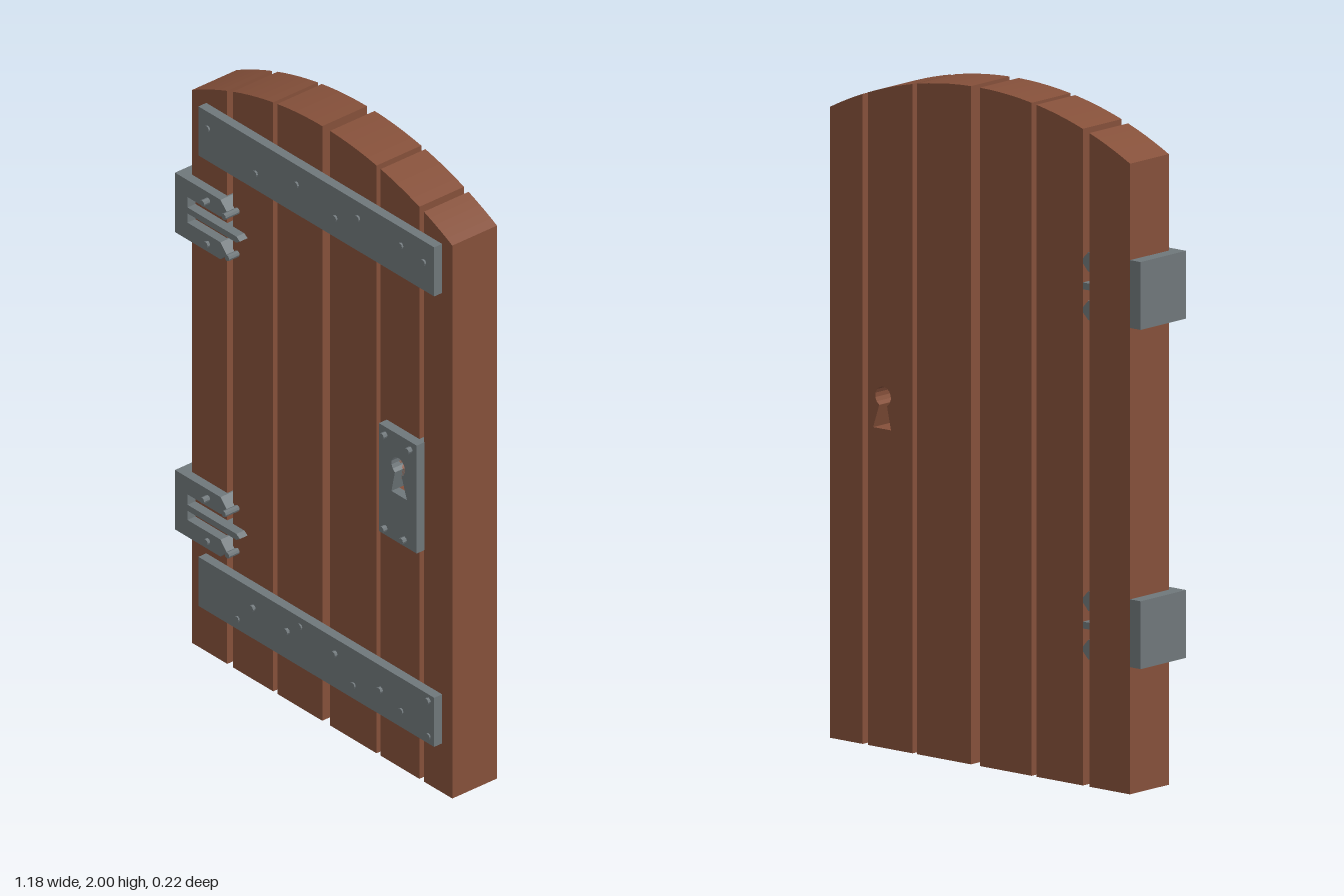
import * as THREE from 'three';

const wood = new THREE.MeshStandardMaterial({ color: 0x85503a, flatShading: true });
const iron = new THREE.MeshStandardMaterial({ color: 0x6f777a, flatShading: true });

const BACK = -0.115, FACE = 0.055, PLATE = 0.085;

// Extrude an outline between two depths
function slab(name, shape, z0, z1, material) {
  const geometry = new THREE.ExtrudeGeometry(shape, { depth: z1 - z0, bevelEnabled: false, curveSegments: 10 });
  geometry.translate(0, 0, z0);
  const mesh = new THREE.Mesh(geometry, material);
  mesh.name = name;
  return mesh;
}

const outline = (points) => new THREE.Shape(points.map(([x, y]) => new THREE.Vector2(x, y)));
const rect = (x0, y0, x1, y1) => outline([[x0, y0], [x1, y0], [x1, y1], [x0, y1]]);

// Arched top edge of the door
const archY = (x) => 2 - 1.238 + Math.sqrt(1.238 ** 2 - (x - 0.018) ** 2);

// Round top with a flared slot below
function keyhole() {
  const points = [[0.357, 0.94], [0.425, 0.94], [0.402, 1.008]];
  for (let i = 0; i <= 12; i++) {
    const a = -1.05 + (i / 12) * (Math.PI + 2.1);
    points.push([0.387 + 0.03 * Math.cos(a), 1.035 + 0.03 * Math.sin(a)]);
  }
  return new THREE.Path(points.reverse().map(([x, y]) => new THREE.Vector2(x, y)));
}

function rivets(list, tip) {
  const group = new THREE.Group();
  group.name = 'rivets';
  const geometry = new THREE.CylinderGeometry(0.01, 0.01, tip - FACE, 8);
  geometry.rotateX(Math.PI / 2);
  for (const [x, y] of list) {
    const rivet = new THREE.Mesh(geometry, iron);
    rivet.name = 'rivet';
    rivet.position.set(x, y, (tip + FACE) / 2);
    group.add(rivet);
  }
  return group;
}

// Three-pronged hinge wrapping the door edge, lower edge at y
function hinge(y) {
  const group = new THREE.Group();
  group.name = 'hinge';
  const shape = outline([
    [-0.595, 0], [-0.395, 0], [-0.368, 0.027], [-0.395, 0.057], [-0.54, 0.057],
    [-0.54, 0.088], [-0.325, 0.088], [-0.31, 0.098], [-0.325, 0.108], [-0.54, 0.108],
    [-0.54, 0.143], [-0.395, 0.143], [-0.368, 0.172], [-0.395, 0.2], [-0.595, 0.2],
  ]);
  group.add(slab('hingePlate', shape, BACK + 0.0005, PLATE, iron));
  group.add(rivets([[-0.45, 0.172], [-0.355, 0.17]], 0.108));
  group.add(rivets([[-0.45, 0.027], [-0.355, 0.026]], 0.095));
  group.position.y = y;
  return group;
}

export function createModel() {
  const door = new THREE.Group();
  door.name = 'door';

  // Planks, cut to the arch
  const planks = [[-0.555, -0.4], [-0.375, -0.198], [-0.18, 0.018], [0.052, 0.257], [0.275, 0.445], [0.465, 0.59]];
  planks.forEach(([x0, x1], i) => {
    const points = [[x0, 0], [x1, 0]];
    for (let s = 0; s <= 5; s++) {
      const x = x1 + (x0 - x1) * (s / 5);
      points.push([x, archY(x)]);
    }
    const shape = outline(points);
    if (i === 4) shape.holes.push(keyhole());
    door.add(slab('plank', shape, BACK, FACE, wood));
  });

  // Cross straps
  door.add(slab('upperStrap', rect(-0.492, 1.68, 0.545, 1.845), FACE, PLATE, iron));
  door.add(slab('lowerStrap', rect(-0.492, 0.165, 0.545, 0.33), FACE, PLATE, iron));
  door.add(rivets([[-0.45, 1.79], [-0.24, 1.735], [-0.06, 1.78], [0.11, 1.745], [0.21, 1.79],
    [0.4, 1.785], [0.5, 1.775]], 0.091));
  door.add(rivets([[-0.25, 0.27], [-0.1, 0.26], [0.11, 0.28], [0.31, 0.25], [0.52, 0.31]], 0.095));
  door.add(rivets([[-0.32, 0.2], [-0.045, 0.3], [0.19, 0.21], [0.4, 0.22], [0.52, 0.19]], 0.09));

  // Lock plate
  const lock = rect(0.302, 0.78, 0.468, 1.143);
  lock.holes.push(keyhole());
  door.add(slab('lockPlate', lock, 0.03, PLATE, iron));
  door.add(rivets([[0.33, 1.117], [0.44, 1.117], [0.33, 0.803], [0.415, 0.803]], 0.1));

  // Hinges
  door.add(hinge(1.375), hinge(0.375));
  return door;
}
